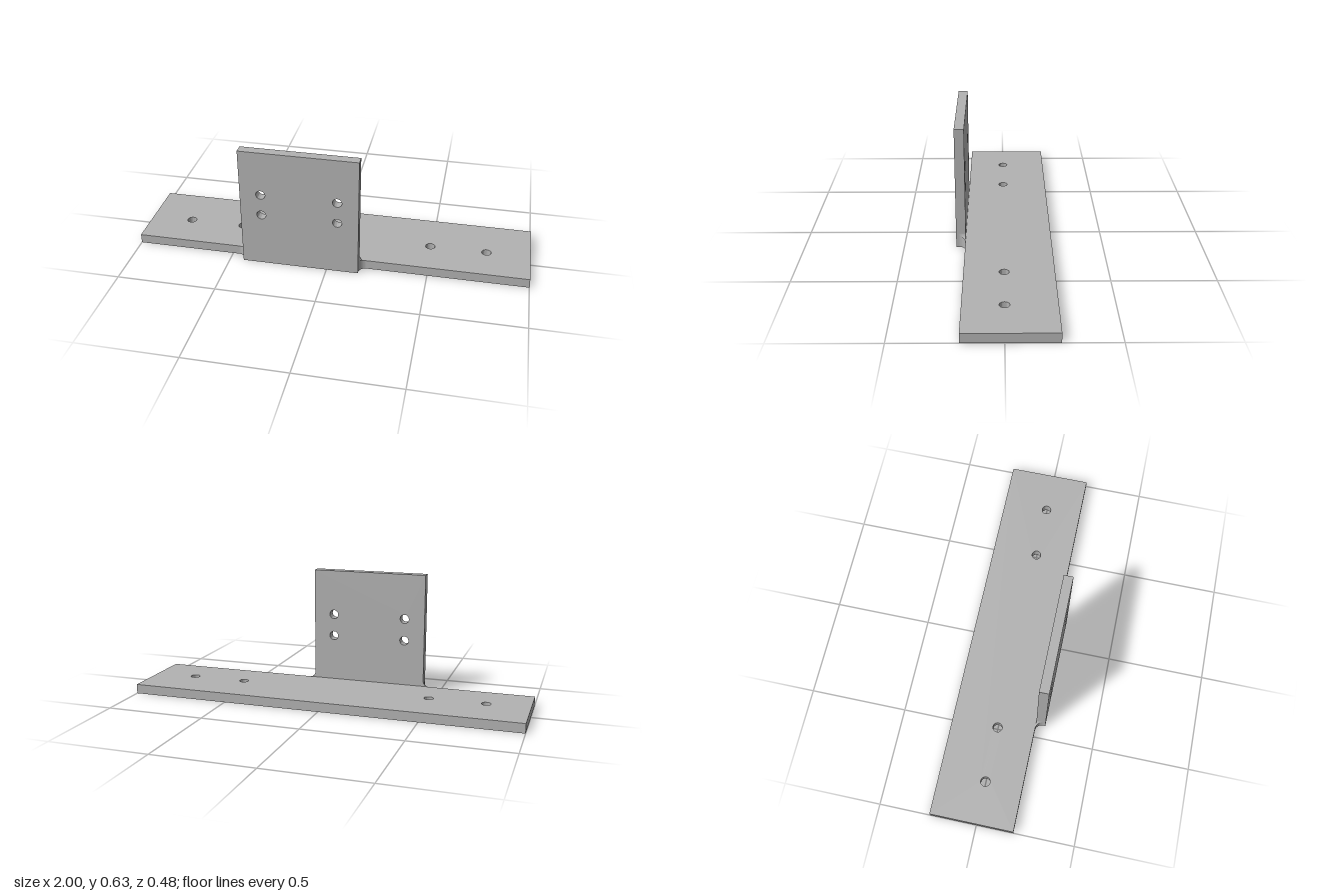
import * as THREE from 'three';
import { toCreasedNormals } from 'three/addons/utils/BufferGeometryUtils.js';

const T = 0.048;                       // sheet thickness
const BACK = -0.238, BEND = 0.19;      // base plate depth range
const LEFT = 0.16, RIGHT = -0.43;      // side edges of the upright
const TOP = 0.63;
const R_PLAN = 0.036, R_UP = 0.028;    // corner fillet radii

// Rectangular sheet with round holes, extruded by the sheet thickness
function drilledSheet(x0, y0, x1, y1, holes, radius) {
  const shape = new THREE.Shape([
    new THREE.Vector2(x0, y0), new THREE.Vector2(x1, y0),
    new THREE.Vector2(x1, y1), new THREE.Vector2(x0, y1),
  ]);
  for (const [x, y] of holes) {
    shape.holes.push(new THREE.Path().absarc(x, y, radius, 0, Math.PI * 2, true));
  }
  const geo = new THREE.ExtrudeGeometry(shape, { depth: T, bevelEnabled: false, curveSegments: 32 });
  return toCreasedNormals(geo, 0.5);
}

// Concave fillet width at distance t from its wide end
const cove = (r, t) => r - Math.sqrt(Math.max(0, r * r - (r - t) ** 2));

// Corner where the plan fillet and the upright fillet meet; side is +1 or -1
function cornerFillet(edge, side) {
  const n = 12, pos = [];
  const steps = Array.from({ length: n + 1 }, (_, i) => 1 - Math.cos((i / n) * Math.PI / 2));
  const zs = steps.map(s => s * R_PLAN);
  const ys = [0, ...steps.map(s => T + s * R_UP)];
  const width = (y, z) => Math.min(cove(R_PLAN, z), y <= T ? R_PLAN : cove(R_UP, y - T));
  const point = (w, y, z) => [edge + side * w, y, BEND + z];
  const outer = (y, z) => point(width(y, z), y, z);
  const quad = (a, b, c, d) => {
    const order = side > 0 ? [a, b, c, a, c, d] : [a, c, b, a, d, c];
    order.forEach(p => pos.push(...p));
  };
  for (let j = 0; j < ys.length - 1; j++) {
    const y0 = ys[j], y1 = ys[j + 1];
    for (let i = 0; i < n; i++) {
      quad(outer(y0, zs[i]), outer(y1, zs[i]), outer(y1, zs[i + 1]), outer(y0, zs[i + 1]));
    }
    // flat back, flush with the back of the upright
    if (j > 0) quad(point(0, y0, 0), point(0, y1, 0), outer(y1, 0), outer(y0, 0));
  }
  // flat underside
  for (let i = 0; i < n; i++) {
    quad(point(0, 0, zs[i]), outer(0, zs[i]), outer(0, zs[i + 1]), point(0, 0, zs[i + 1]));
  }
  const geo = new THREE.BufferGeometry();
  geo.setAttribute('position', new THREE.Float32BufferAttribute(pos, 3));
  return toCreasedNormals(geo, 0.5);
}

export function createModel() {
  const group = new THREE.Group();
  group.name = 'mountingBracket';
  const steel = new THREE.MeshStandardMaterial({ color: 0xb2b2b2 });
  steel.name = 'plain steel grey';

  const add = (name, geo) => {
    const mesh = new THREE.Mesh(geo, steel);
    mesh.name = name;
    group.add(mesh);
    return mesh;
  };

  // Long base plate with four screw holes, laid flat
  const baseHoles = [-0.785, -0.5, 0.495, 0.78].map(x => [x, 0]);
  add('basePlate', drilledSheet(-1, -BEND, 1, -BACK, baseHoles, 0.024)).rotation.x = -Math.PI / 2;

  // Upright plate with a square of four holes
  const uprightHoles = [-0.325, 0.055].flatMap(x => [[x, 0.284], [x, 0.398]]);
  add('uprightPlate', drilledSheet(RIGHT, 0, LEFT, TOP, uprightHoles, 0.023)).position.z = BEND;

  // Rounded inner corners on both sides of the upright
  add('leftCornerFillet', cornerFillet(LEFT, 1));
  add('rightCornerFillet', cornerFillet(RIGHT, -1));

  return group;
}
